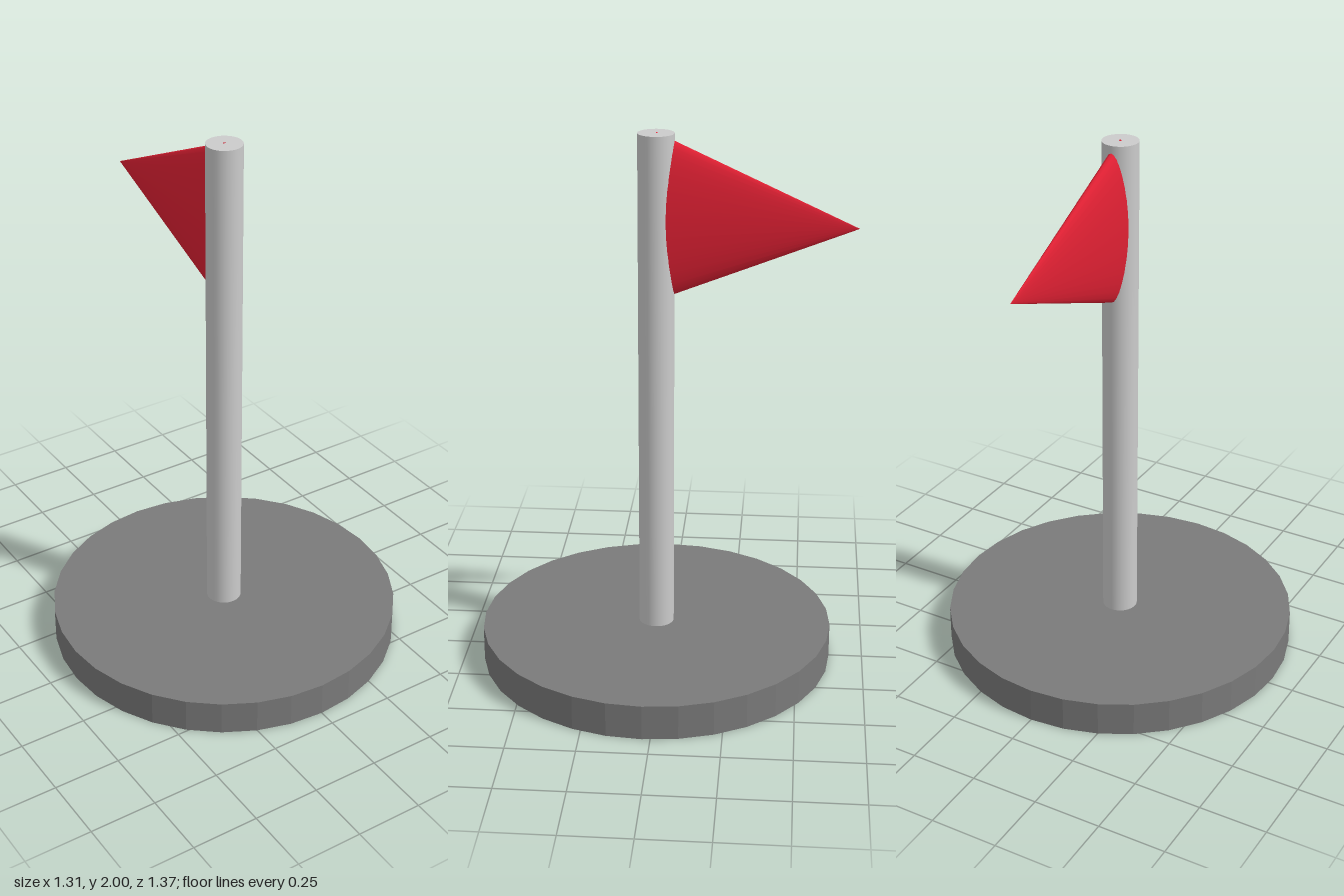
import * as THREE from 'three';

const AXIS_Z = 0.03; // base and pole share this axis

function addPart(group, name, geometry, color, flatShading = false) {
  const material = new THREE.MeshStandardMaterial({ color, flatShading });
  const mesh = new THREE.Mesh(geometry, material);
  mesh.name = name;
  group.add(mesh);
  return mesh;
}

export function createModel() {
  const group = new THREE.Group();
  group.name = 'flagOnStand';

  // Faceted round base
  const baseHeight = 0.13;
  addPart(group, 'base', new THREE.CylinderGeometry(0.655, 0.655, baseHeight, 32), 0x7a7a7a, true)
    .position.set(0, baseHeight / 2, AXIS_Z);

  // Smooth pole standing on the base
  const poleHeight = 2 - baseHeight;
  addPart(group, 'pole', new THREE.CylinderGeometry(0.065, 0.065, poleHeight, 32), 0xcccccc)
    .position.set(0, baseHeight + poleHeight / 2, AXIS_Z);

  // Pennant: a flattened cone pointing back, its wide end buried in the pole
  const length = 0.71;
  const flag = new THREE.ConeGeometry(1, length, 32);
  flag.rotateX(-Math.PI / 2);
  flag.translate(0, 0, length / 2); // tip at the origin
  flag.scale(0.056, 0.303, 1);
  // Slight shear so the tip sits lower than the middle of the wide end
  flag.applyMatrix4(new THREE.Matrix4().set(
    1, 0, 0, 0,
    0, 1, 0.036, 0,
    0, 0, 1, 0,
    0, 0, 0, 1));
  addPart(group, 'flag', flag, 0xe02033).position.set(0, 1.675, AXIS_Z - length);

  return group;
}
